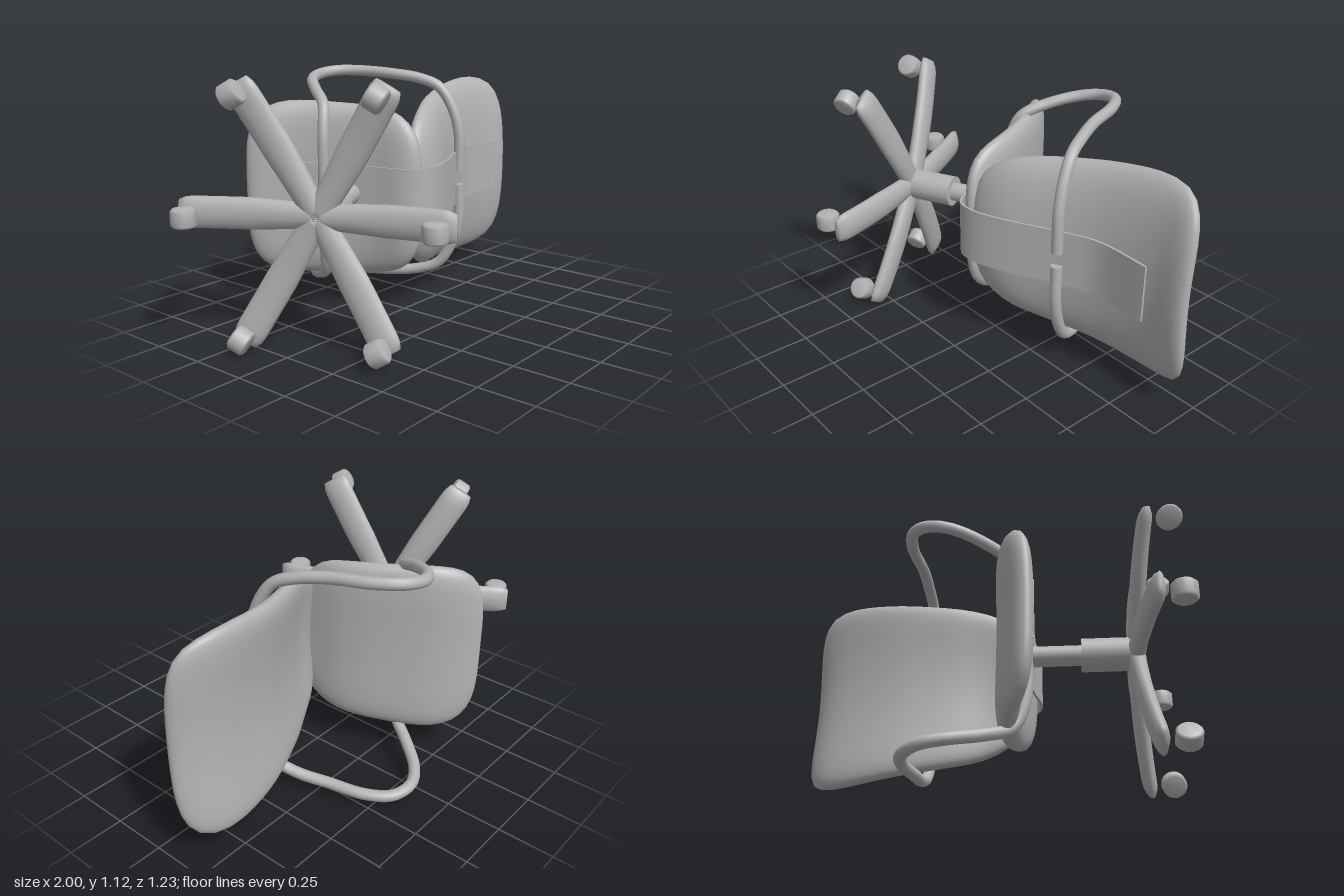
import * as THREE from 'three';
import { mergeVertices } from 'three/addons/utils/BufferGeometryUtils.js';

const grey = new THREE.MeshStandardMaterial({ color: 0xb3b3b3 });
grey.name = 'grey';

function mesh(name, geometry, parent) {
  const m = new THREE.Mesh(geometry, grey);
  m.name = name;
  parent.add(m);
  return m;
}

// Move every vertex by a rule, then rebuild the normals (welded = smooth all over)
function reshape(geometry, rule, weld = true) {
  const p = geometry.attributes.position;
  const v = new THREE.Vector3();
  for (let i = 0; i < p.count; i++) {
    rule(v.fromBufferAttribute(p, i));
    p.setXYZ(i, v.x, v.y, v.z);
  }
  if (weld) {
    geometry.deleteAttribute('normal');
    geometry.deleteAttribute('uv');
    geometry = mergeVertices(geometry, 1e-5);
  }
  geometry.computeVertexNormals();
  return geometry;
}

// Profile curve in the x-z plane; frame() gives a point and its normal
const profile = (pts) => new THREE.CatmullRomCurve3(pts.map(([x, z]) => new THREE.Vector3(x, 0, z)));
function frame(curve, t) {
  const u = THREE.MathUtils.clamp(t, 0, 1);
  const d = curve.getTangentAt(u);
  return { p: curve.getPointAt(u), n: new THREE.Vector3(-d.z, 0, d.x) };
}

// Padded slab with a full rounded rim: a squared-off sphere bent along the curve
function cushion(curve, half, halfWidth, power, dish) {
  return reshape(new THREE.SphereGeometry(1, 64, 40), (v) => {
    const rho = Math.min(1, Math.hypot(v.x, v.z));
    let a = 0, b = 0;
    if (rho > 1e-6) {
      const c = v.x / rho, s = v.z / rho;
      const k = rho / Math.pow(Math.abs(c) ** power + Math.abs(s) ** power, 1 / power);
      a = c * k;
      b = s * k;
    }
    const t = (a + 1) / 2;
    const { p, n } = frame(curve, t);
    const h = Math.sign(v.y) * Math.sqrt(1 - rho ** 7) * half + dish * b * b;
    v.set(p.x + n.x * h, -b * halfWidth(t), p.z + n.z * h);
  });
}

// One leg of the star base, along +x, arching down to its tip
function legGeometry(reach) {
  const g = new THREE.CylinderGeometry(1, 1, 1, 14, 20);
  g.rotateZ(-Math.PI / 2);
  return reshape(g, (v) => {
    const s = v.x + 0.5;
    const tip = s > 0.9 ? Math.sqrt(1 - ((s - 0.9) / 0.115) ** 2) : 1;
    const w = (0.052 + 0.016 * Math.min(1, s * 2)) * (0.6 + 0.4 * tip);
    const h = (0.038 - 0.006 * s) * tip;
    v.set(s * reach, v.y * h - 0.052 * s * s, v.z * w);
  });
}

export function createModel() {
  const model = new THREE.Group();
  model.name = 'officeChair';
  const chair = new THREE.Group(); // lies on its side, y is the chair's width
  chair.name = 'chair';
  chair.position.y = 0.57;
  model.add(chair);

  // Seat and backrest
  const seatLine = profile([[-0.03, 0.125], [-0.058, 0.06], [-0.085, -0.107], [-0.15, -0.27],
    [-0.26, -0.455], [-0.41, -0.6]]);
  mesh('seat', cushion(seatLine, 0.054, (t) => 0.375 + 0.045 * t, 4, 0.012), chair);

  const backLine = profile([[-0.035, 0.095], [0.03, 0.078], [0.14, 0.046], [0.33, -0.045],
    [0.56, -0.13], [0.83, -0.16], [0.995, -0.12]]);
  mesh('backrest', cushion(backLine, 0.055, (t) => 0.355 + 0.14 * t, 4.5, -0.055), chair);

  // Flat support strip under the seat and up behind the back
  const stripLine = profile([[-0.395, -0.53], [-0.305, -0.42], [-0.21, -0.24], [-0.155, -0.07],
    [-0.118, 0.08], [-0.07, 0.14], [0, 0.152], [0.07, 0.14], [0.2, 0.092], [0.36, 0.015],
    [0.42, -0.012], [0.57, -0.067], [0.83, -0.062]]);
  mesh('supportStrip', reshape(new THREE.BoxGeometry(1, 0.255, 0.01, 60, 1, 1), (v) => {
    const { p, n } = frame(stripLine, v.x + 0.5);
    v.set(p.x + n.x * v.z, v.y, p.z + n.z * v.z);
  }, false), chair);

  // Tubular armrests, mirrored across the chair
  const armPoints = [[0.41, 0.032, 0.008], [0.41, 0.22, 0.006], [0.397, 0.35, -0.03], [0.375, 0.44, -0.09],
    [0.34, 0.478, -0.18], [0.29, 0.497, -0.3], [0.235, 0.508, -0.47], [0.165, 0.508, -0.565],
    [0.07, 0.495, -0.592], [-0.02, 0.478, -0.55], [-0.12, 0.44, -0.43], [-0.188, 0.385, -0.32],
    [-0.227, 0.27, -0.285], [-0.235, 0, -0.28]];
  for (const side of [1, -1]) {
    const arm = new THREE.Group();
    arm.name = side > 0 ? 'upperArmrest' : 'lowerArmrest';
    chair.add(arm);
    const curve = new THREE.CatmullRomCurve3(armPoints.map(([x, y, z]) => new THREE.Vector3(x, y * side, z)));
    mesh('armTube', new THREE.TubeGeometry(curve, 80, 0.026, 12), arm);
    const cap = mesh('armTubeEnd', new THREE.CircleGeometry(0.026, 12), arm);
    cap.position.copy(curve.getPoint(0));
    cap.rotation.x = side * Math.PI / 2;
  }

  // Base, built upright and then laid over to match the chair
  const base = new THREE.Group();
  base.name = 'base';
  const up = new THREE.Vector3(0.906, 0, -0.424).normalize();
  const out = new THREE.Vector3(0.424, 0, 0.906).normalize();
  base.quaternion.setFromRotationMatrix(
    new THREE.Matrix4().makeBasis(out, up, new THREE.Vector3(0, 1, 0)));
  base.position.set(-0.597, 0, 0.037);
  chair.add(base);

  // Gas column in three steps: [name, radius, bottom, top]
  for (const [name, r, y0, y1] of [['columnSleeve', 0.073, 0.005, 0.235],
    ['columnPiston', 0.045, 0.235, 0.44], ['columnTip', 0.028, 0.44, 0.475]]) {
    mesh(name, new THREE.CylinderGeometry(r, r, y1 - y0, 20), base).position.y = (y0 + y1) / 2;
  }

  // Six legs with castors
  for (let i = 0; i < 6; i++) {
    const straight = i % 3 === 0;
    const leg = new THREE.Group();
    leg.name = 'leg' + (i + 1);
    leg.rotation.y = i * Math.PI / 3;
    base.add(leg);
    mesh('legArm', legGeometry(straight ? 0.575 : 0.615), leg);
    const wheel = new THREE.LatheGeometry([[0, -0.038], [0.043, -0.038], [0.053, -0.028], [0.053, 0.028],
      [0.043, 0.038], [0, 0.038]].map(([x, y]) => new THREE.Vector2(x, y)), 20);
    wheel.rotateX(Math.PI / 2);
    mesh('castor', wheel, leg).position.set(straight ? 0.51 : 0.57, -0.148, 0);
  }
  return model;
}
